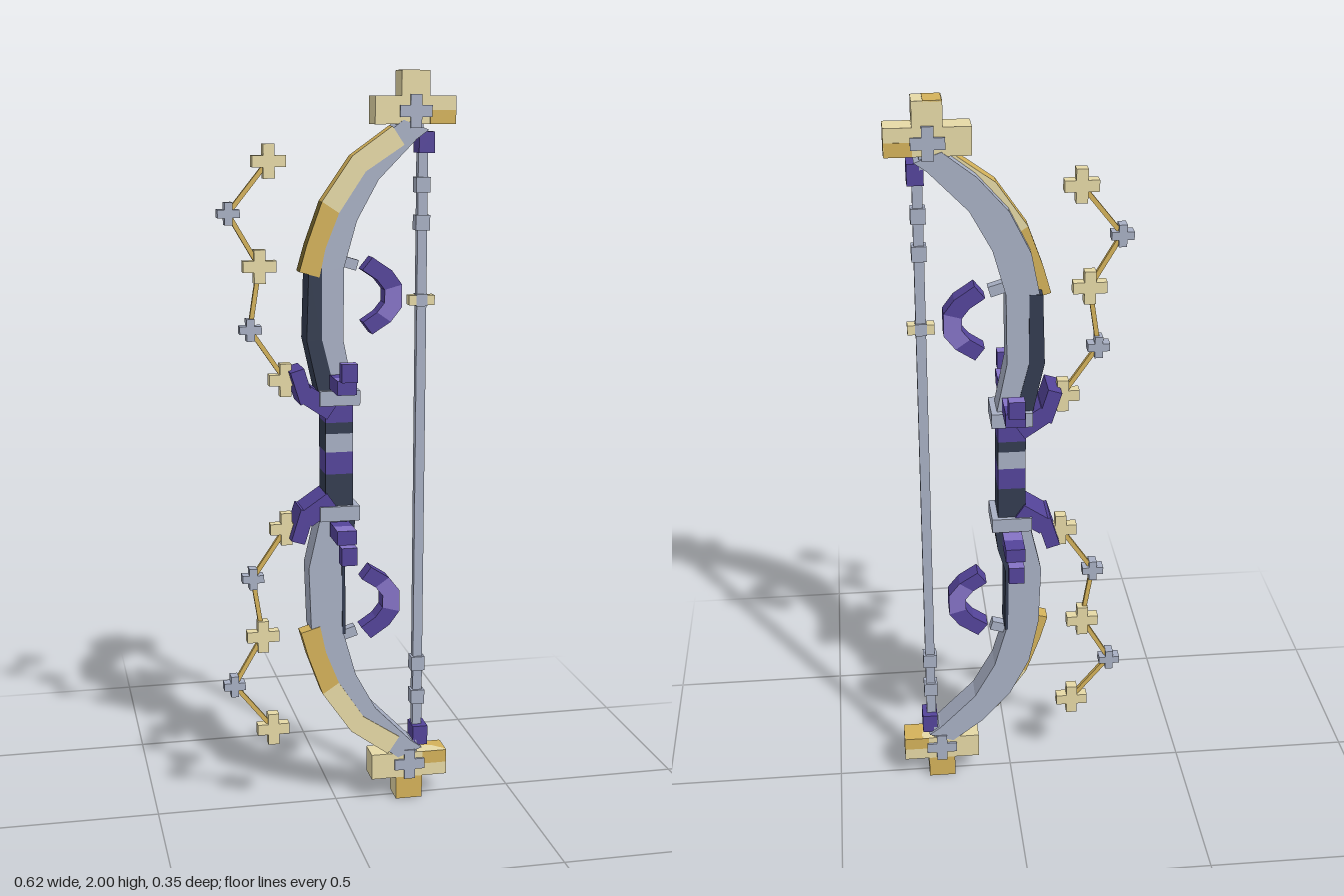
import * as THREE from 'three';

const mat = (name, color) => {
  const m = new THREE.MeshStandardMaterial({ color });
  m.name = name;
  return m;
};

export function createModel() {
  const model = new THREE.Group();
  model.name = 'bow';
  const grey = mat('steel grey', 0xa8b0c4);
  const navy = mat('dark navy', 0x333c50);
  const purple = mat('deep purple', 0x54449a);
  const lilac = mat('light purple', 0x8573c6);
  const tan = mat('pale gold', 0xe6d9a6);
  const gold = mat('rich gold', 0xd4b25a);
  const darkGold = mat('dark gold', 0x7d6b30);

  const add = (parent, name, geo, material) => {
    const mesh = new THREE.Mesh(geo, material);
    mesh.name = name;
    parent.add(mesh);
    return mesh;
  };
  const box = (parent, name, material, [w, h, d], [x, y, z], rot = 0) => {
    const mesh = add(parent, name, new THREE.BoxGeometry(w, h, d), material);
    mesh.position.set(x, y, z);
    mesh.rotation.z = rot;
    return mesh;
  };
  // Flat outline extruded from z0 to z1
  const slab = (parent, name, material, points, z0, z1) => {
    const shape = new THREE.Shape(points.map(([x, y]) => new THREE.Vector2(x, y)));
    const geo = new THREE.ExtrudeGeometry(shape, { depth: z1 - z0, bevelEnabled: false });
    return add(parent, name, geo.translate(0, 0, z0), material);
  };
  // Plus-shaped star made from an upright and two side arms
  const plus = (parent, name, material, x, y, size, arm, depth) => {
    const g = new THREE.Group();
    g.name = name;
    g.position.set(x, y, 0);
    parent.add(g);
    const side = (size - arm) / 2, off = (size + arm) / 4;
    box(g, 'starUpright', material, [arm, size, depth], [0, 0, 0]);
    for (const s of [-1, 1]) box(g, 'starArm', material, [side, arm, depth], [s * off, 0, 0]);
  };

  // Wrapped grip
  const inlay = [navy, navy, grey, grey, grey, grey];
  const bands = [[1.14, 1.09, purple], [1.09, 1.06, navy], [1.06, 1.01, inlay], [1.01, 0.95, purple], [0.95, 0.86, navy]];
  for (const [top, bottom, m] of bands) {
    box(model, 'gripBand', m, [0.074, top - bottom, 0.088], [0, (top + bottom) / 2, 0]);
  }

  // Bowstring with its nocking point
  box(model, 'bowstring', grey, [0.026, 1.64, 0.022], [0.23, 1, 0]);
  box(model, 'nockingPoint', tan, [0.07, 0.026, 0.03], [0.23, 1.406, 0]);
  box(model, 'nockingBead', grey, [0.03, 0.032, 0.034], [0.23, 1.406, 0]);

  const outer = [[-0.05, 1.17], [-0.082, 1.31], [-0.076, 1.48], [-0.05, 1.61], [0.005, 1.72], [0.085, 1.81], [0.17, 1.875]];
  const inner = [[0.04, 1.17], [0.012, 1.31], [0.014, 1.5], [0.048, 1.62], [0.105, 1.724], [0.205, 1.826], [0.238, 1.85]];
  const goldOut = [[-0.105, 1.49], [-0.085, 1.56], [-0.045, 1.67], [0.035, 1.785], [0.14, 1.86]];
  const goldIn = [[-0.052, 1.475], [-0.036, 1.55], [0.0, 1.64], [0.07, 1.745], [0.172, 1.812]];
  const moonOut = [[0.093, 1.523], [0.145, 1.488], [0.173, 1.45], [0.173, 1.39], [0.143, 1.352], [0.093, 1.32]];
  const moonIn = [[0.066, 1.49], [0.106, 1.463], [0.126, 1.437], [0.126, 1.403], [0.106, 1.378], [0.068, 1.353]];
  const moonColours = [purple, purple, lilac, lilac, purple];
  const stars = [[-0.178, 1.772, 1], [-0.284, 1.64, 0], [-0.204, 1.503, 1], [-0.23, 1.338, 0], [-0.138, 1.203, 1]];

  // Both halves, s = 1 above and s = -1 below the grip
  for (const s of [1, -1]) {
    const half = new THREE.Group();
    half.name = s > 0 ? 'upperHalf' : 'lowerHalf';
    model.add(half);
    const Y = (y) => 1 + s * (y - 1);
    const flip = (pts) => pts.map(([x, y]) => [x, Y(y)]);

    // Limb
    slab(half, 'limb', grey, flip([...outer, ...[...inner].reverse()]), -0.038, 0.038);
    // Dark lining: outside on the upper limb, inside on the lower limb
    if (s > 0) {
      const lining = [[-0.055, 1.17], [-0.086, 1.31], [-0.08, 1.5], [-0.045, 1.5], [-0.045, 1.31], [-0.01, 1.17]];
      slab(half, 'limbLining', navy, lining, -0.04, 0.04);
    } else {
      const lining = [[0.0, 1.17], [0.046, 1.17], [0.038, 1.24], [0.017, 1.31], [0.019, 1.5], [0.01, 1.5], [0.008, 1.31]];
      slab(half, 'limbLining', navy, flip(lining), -0.04, 0.04);
    }
    // Gilded plates along the back of the limb
    for (let i = 0; i < goldOut.length - 1; i++) {
      const pts = [goldOut[i], goldOut[i + 1], goldIn[i + 1], goldIn[i]];
      const edge = s > 0 && i < 2 ? darkGold : gold;
      slab(half, 'gildedPlate', [i < 2 ? gold : tan, edge], flip(pts), -0.004, 0.041);
    }

    // Cross-shaped tip with inset star
    box(half, 'tipBar', [gold, tan, tan, gold, tan, tan], [0.215, 0.072, 0.07], [0.203, Y(1.9), 0]);
    box(half, 'tipStem', s > 0 ? tan : [tan, tan, tan, tan, gold, gold], [0.075, 0.066, 0.07], [0.203, Y(1.967), 0]);
    box(half, 'tipGilding', gold, [0.068, 0.036, 0.073], [0.275, s > 0 ? 1.882 : 0.118, 0]);
    if (s > 0) box(half, 'stemGilding', gold, [0.046, 0.004, 0.07], [0.19, 1.999, 0]);
    plus(half, 'tipStar', grey, 0.203, Y(1.897), 0.085, 0.03, 0.084);
    box(half, 'tipCollar', grey, [0.07, 0.04, 0.06], [0.19, Y(1.85), 0]);
    box(half, 'stringAnchor', purple, [0.042, 0.055, 0.06], [0.235, Y(1.818), 0]);

    // String beads
    for (const y of [1.61, 1.708]) box(half, 'stringBead', grey, [0.038, 0.04, 0.036], [0.23, Y(y), 0]);

    // Guard with hooked side prongs
    box(half, 'guard', grey, [0.108, 0.04, 0.112], [0, Y(1.157), 0]);
    const lightTop = [purple, purple, lilac, lilac, purple, purple];
    for (const z of [-1, 1]) {
      box(half, 'prongRoot', z > 0 ? purple : lightTop, [0.052, 0.038, 0.048], [0, Y(1.2), z * 0.069]);
      box(half, 'prong', z > 0 ? lightTop : purple, [0.052, 0.038, 0.052], [0, Y(1.2), z * 0.119]);
      box(half, 'prongTip', lightTop, [0.042, 0.048, 0.033], [0, Y(1.243), z * 0.16]);
    }

    // Angled hand rest
    box(half, 'handRest', purple, [0.085, 0.05, 0.1], [-0.055, Y(1.145), 0], -s * 0.6);
    box(half, 'handRestTip', purple, [0.038, 0.09, 0.1], [-0.1, Y(1.19), 0], s * 0.3);

    // Crescent ornament and its peg
    moonColours.forEach((colour, i) => {
      const pts = [moonOut[i], moonOut[i + 1], moonIn[i + 1], moonIn[i]];
      slab(half, 'crescentSegment', [colour, purple], flip(pts), -0.025, 0.025);
    });
    box(half, 'crescentPeg', grey, [0.045, 0.028, 0.028], [0.033, Y(1.508), 0], -s * 0.3);

    // Chain of stars joined by thin rods
    stars.forEach(([x, y, big], i) => {
      plus(half, 'chainStar', big ? tan : grey, x, Y(y), big ? 0.088 : 0.058, big ? 0.03 : 0.021, big ? 0.03 : 0.034);
      if (!i) return;
      const dx = x - stars[i - 1][0], dy = s * (y - stars[i - 1][1]);
      const mid = [x - dx / 2, Y(y) - dy / 2, 0];
      box(half, 'chainRod', gold, [Math.hypot(dx, dy), 0.012, 0.012], mid, Math.atan2(dy, dx));
    });
  }
  return model;
}
